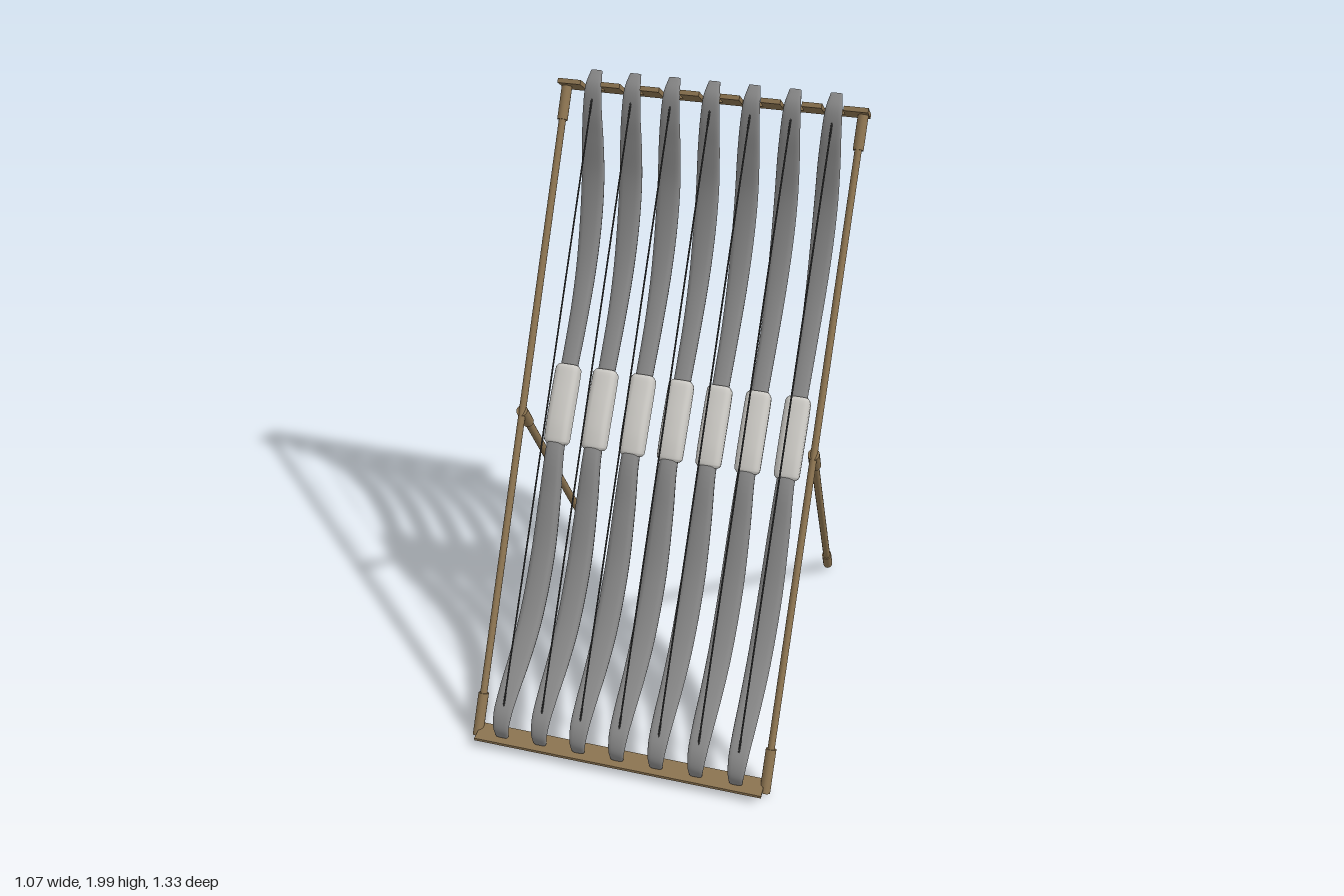
import * as THREE from 'three';

const wood = new THREE.MeshStandardMaterial({ color: 0x8b7350 });
wood.name = 'wood';
const limbGrey = new THREE.MeshStandardMaterial({ color: 0x848484 });
limbGrey.name = 'limb grey';
const gripGrey = new THREE.MeshStandardMaterial({ color: 0xcac8c3 });
gripGrey.name = 'grip light grey';
const cord = new THREE.MeshStandardMaterial({ color: 0x3c3c3c });
cord.name = 'cord dark grey';

function mesh(geometry, material, name, parent) {
  const m = new THREE.Mesh(geometry, material);
  m.name = name;
  parent.add(m);
  return m;
}

// Sweeps a rounded-rectangle section along stations of [z, y, width, depth] in the YZ plane
function sweep(stations, steps, sides = 16, power = 0.65) {
  const path = new THREE.CatmullRomCurve3(stations.map(([z, y]) => new THREE.Vector3(0, y, z)));
  const size = new THREE.CatmullRomCurve3(stations.map(([, , w, d]) => new THREE.Vector3(w, d, 0)));
  const pos = [], idx = [];
  const bend = (v) => Math.sign(v) * Math.abs(v) ** power;
  for (let i = 0; i <= steps; i++) {
    const p = path.getPoint(i / steps), t = path.getTangent(i / steps), s = size.getPoint(i / steps);
    for (let j = 0; j < sides; j++) {
      const a = (j / sides) * Math.PI * 2;
      const u = bend(Math.cos(a)) * s.x / 2, v = bend(Math.sin(a)) * s.y / 2;
      pos.push(u, p.y + t.z * v, p.z - t.y * v);
      if (i < steps) {
        const k = i * sides, a0 = k + j, b0 = k + (j + 1) % sides;
        idx.push(a0, b0, a0 + sides, b0, b0 + sides, a0 + sides);
      }
    }
  }
  // End caps
  for (const end of [0, 1]) {
    const p = path.getPoint(end), c = pos.length / 3, k = end * steps * sides;
    pos.push(0, p.y, p.z);
    for (let j = 0; j < sides; j++) {
      const a = k + j, b = k + (j + 1) % sides;
      if (end) idx.push(c, a, b); else idx.push(c, b, a);
    }
  }
  const g = new THREE.BufferGeometry();
  g.setAttribute('position', new THREE.Float32BufferAttribute(pos, 3));
  g.setIndex(idx);
  g.computeVertexNormals();
  return g;
}

// Slightly flattened round pole between two local heights
function pole(y0, y1, rx, rz) {
  return new THREE.CylinderGeometry(1, 1, y1 - y0, 16).scale(rx, 1, rz).translate(0, (y0 + y1) / 2, 0);
}

const lowerLimb = [
  [0.634, 0.05, 0.045, 0.016], [0.639, 0.093, 0.056, 0.02], [0.613, 0.14, 0.066, 0.022],
  [0.538, 0.183, 0.073, 0.024], [0.422, 0.231, 0.079, 0.034], [0.289, 0.312, 0.084, 0.048],
  [0.14, 0.472, 0.085, 0.056], [0.036, 0.655, 0.077, 0.056], [-0.036, 0.804, 0.064, 0.056],
  [-0.1, 0.88, 0.06, 0.055],
];
const upperLimb = [
  [-0.19, 1.0, 0.058, 0.05], [-0.257, 1.069, 0.06, 0.05], [-0.374, 1.2, 0.064, 0.052],
  [-0.47, 1.34, 0.072, 0.05], [-0.538, 1.493, 0.08, 0.043], [-0.574, 1.637, 0.082, 0.033],
  [-0.581, 1.77, 0.078, 0.026], [-0.586, 1.875, 0.068, 0.022], [-0.607, 1.955, 0.058, 0.02],
  [-0.65, 1.995, 0.04, 0.012],
];
const grip = [
  [-0.06, 0.825, 0.07, 0.06], [-0.067, 0.835, 0.088, 0.075], [-0.1, 0.884, 0.09, 0.082],
  [-0.146, 0.942, 0.09, 0.084], [-0.19, 0.996, 0.09, 0.08], [-0.226, 1.04, 0.088, 0.075],
  [-0.235, 1.05, 0.07, 0.06],
];

export function createModel() {
  const model = new THREE.Group();
  model.name = 'bowRack';
  const spacing = 0.139, postX = 0.515;

  // Leaning front frame
  const frame = new THREE.Group();
  frame.name = 'leaningFrame';
  frame.position.set(0, 0.986, 0);
  frame.rotation.x = -0.5694;
  model.add(frame);

  // Back legs hinged at the middle of the posts
  const legs = new THREE.Group();
  legs.name = 'backLegs';
  legs.position.set(0, 0.985, 0);
  legs.rotation.x = Math.atan2(0.635, 0.965);
  model.add(legs);

  for (const side of [1, -1]) {
    const tag = side > 0 ? 'left' : 'right';
    const add = (parent, name, ...dims) => {
      mesh(pole(...dims), wood, tag + name, parent).position.x = side * postX;
    };
    add(frame, 'Post', -1.13, 1.135, 0.012, 0.016);
    add(frame, 'PostFoot', -1.15, -1.0, 0.018, 0.02);
    add(frame, 'PostTop', 1.02, 1.136, 0.018, 0.02);
    add(legs, 'BackLeg', -1.14, 0, 0.013, 0.016);
    add(legs, 'BackLegFoot', -1.155, -1.045, 0.018, 0.02);
    add(legs, 'BackLegHinge', -0.09, 0.008, 0.02, 0.021);
  }

  // Notched top board, open towards the front
  const shape = new THREE.Shape();
  shape.moveTo(-0.535, 0.05);
  shape.lineTo(-0.535, -0.05);
  for (let i = -3; i <= 3; i++) {
    const x = i * spacing, h = 0.036;
    shape.lineTo(x - h, -0.05);
    shape.lineTo(x - h, 0.017);
    shape.lineTo(x + h, 0.017);
    shape.lineTo(x + h, -0.05);
  }
  shape.lineTo(0.535, -0.05);
  shape.lineTo(0.535, 0.05);
  const board = new THREE.ExtrudeGeometry(shape, { depth: 0.016, bevelEnabled: false });
  mesh(board.rotateX(-Math.PI / 2), wood, 'topBoard', frame).position.y = 1.136;

  // Flat bottom shelf
  mesh(new THREE.BoxGeometry(1.02, 0.01, 0.08), wood, 'bottomShelf', model).position.set(0, 0.04, 0.625);

  // Row of bows
  const lowerGeo = sweep(lowerLimb, 48);
  const upperGeo = sweep(upperLimb, 48);
  const gripGeo = sweep(grip, 24, 20, 0.6);
  const stringGeo = new THREE.TubeGeometry(
    new THREE.LineCurve3(new THREE.Vector3(0, 0.14, 0.615), new THREE.Vector3(0, 1.94, -0.6)), 1, 0.003, 6);
  for (let i = -3; i <= 3; i++) {
    const bow = new THREE.Group();
    bow.name = 'bow' + (i + 4);
    bow.position.x = i * spacing;
    mesh(lowerGeo, limbGrey, 'lowerLimb', bow);
    mesh(upperGeo, limbGrey, 'upperLimb', bow);
    mesh(gripGeo, gripGrey, 'grip', bow);
    mesh(stringGeo, cord, 'bowString', bow);
    model.add(bow);
  }
  return model;
}
